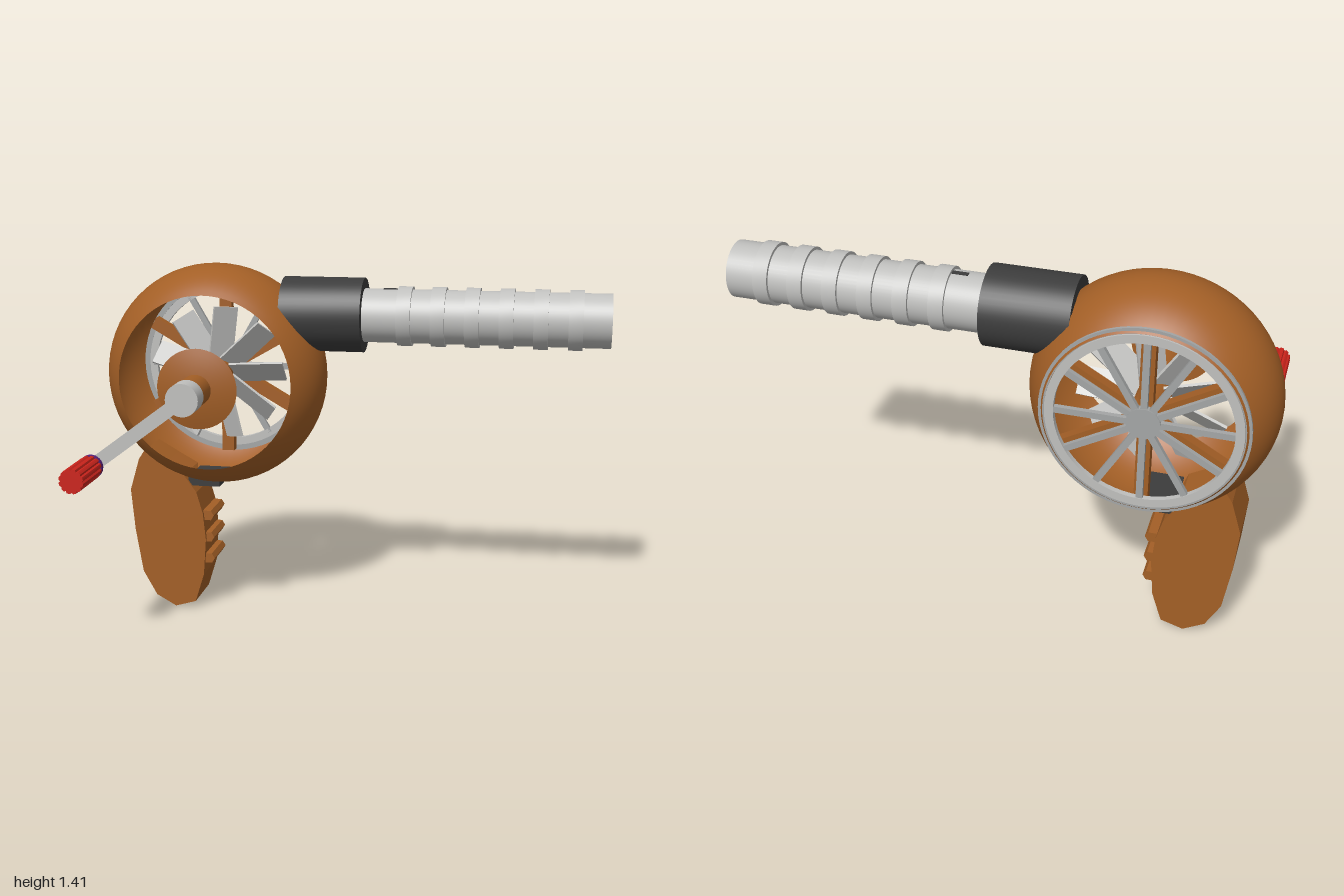
import * as THREE from 'three';
import { toCreasedNormals } from 'three/addons/utils/BufferGeometryUtils.js';

const mat = (name, color, side = THREE.FrontSide) => {
  const m = new THREE.MeshStandardMaterial({ color, side });
  m.name = name;
  return m;
};

export function createModel() {
  const brown = mat('brown', 0xa35f26);
  const brownShell = mat('brown shell', 0xa35f26, THREE.DoubleSide);
  const charcoal = mat('charcoal', 0x3c3c3c);
  const silver = mat('silver', 0xc0c0be);
  const steel = mat('steel', 0xa4a6a6);
  const red = mat('red', 0xcc241c);
  const purple = mat('purple', 0x55207a);

  const root = new THREE.Group();
  const CX = -0.555, CY = 0.975, CZ = -0.28; // drum centre
  const R = 0.445, DEPTH = 0.348;            // drum ellipsoid radii

  const add = (name, geo, material, x = 0, y = 0, z = 0, parent = root) => {
    const m = new THREE.Mesh(geo, material);
    m.name = name;
    m.position.set(x, y, z);
    parent.add(m);
    return m;
  };
  // Turned profile of [radius, height]; axis is z or x
  const turn = (pts, axis = 'z', seg = 48) => {
    const g = new THREE.LatheGeometry(pts.map(p => new THREE.Vector2(p[0], p[1])), seg);
    if (axis === 'z') g.rotateX(Math.PI / 2); else g.rotateZ(-Math.PI / 2);
    return toCreasedNormals(g, 0.5);
  };
  const rod = (r, z0, z1, seg = 32) =>
    new THREE.CylinderGeometry(r, r, z1 - z0, seg).rotateX(Math.PI / 2).translate(0, 0, (z0 + z1) / 2);
  const ring = (r0, r1, z0, z1) => turn([[r0, z0], [r1, z0], [r1, z1], [r0, z1], [r0, z0]], 'z', 64);

  // Hollow drum, open at front and back
  const arc = [];
  for (let i = 0; i <= 24; i++) {
    const d = -0.215 + (0.435 * i) / 24;
    arc.push(new THREE.Vector2(R * Math.sqrt(1 - (d / DEPTH) ** 2), d));
  }
  add('drum', new THREE.LatheGeometry(arc, 64).rotateX(Math.PI / 2), brownShell, CX, CY, CZ);

  // Rear grille
  const grille = new THREE.Group();
  grille.name = 'rearGrille';
  grille.position.set(CX, CY, 0);
  root.add(grille);
  add('outerBand', ring(0.345, 0.367, -0.488, -0.476), steel, 0, 0, 0, grille);
  add('grilleRing', ring(0.312, 0.344, -0.493, -0.472), silver, 0, 0, 0, grille);
  add('grilleHub', rod(0.06, -0.493, -0.468), steel, 0, 0, 0, grille);
  for (let i = 0; i < 12; i++) {
    const a = (i * Math.PI) / 6;
    const s = add('grilleSpoke', new THREE.BoxGeometry(0.3, 0.024, 0.018).translate(0.18, 0, 0), steel, 0, 0, -0.481, grille);
    s.rotation.z = a;
  }

  // Brown struts that carry the shaft
  for (let i = 0; i < 6; i++) {
    const s = add('strut', new THREE.BoxGeometry(0.31, 0.05, 0.04).translate(0.2, 0, 0), brown, CX, CY, -0.44);
    s.rotation.z = Math.PI / 6 + (i * Math.PI) / 3;
  }

  // Fan of nine pitched blades
  const fan = new THREE.Group();
  fan.name = 'fan';
  fan.position.set(CX, CY, -0.3);
  root.add(fan);
  for (let i = 0; i < 9; i++) {
    const b = add('fanBlade', new THREE.BoxGeometry(0.22, 0.105, 0.01).rotateX(0.7).translate(0.16, 0, 0), silver, 0, 0, 0, fan);
    b.rotation.z = THREE.MathUtils.degToRad(3 + 40 * i);
  }

  // Shaft, domed disc and crank
  add('shaft', rod(0.06, -0.465, 0.18), brown, CX, CY);
  add('shaftDisc', turn([[0, 0.043], [0.157, 0.043], [0.13, 0.05], [0.09, 0.058], [0.05, 0.063], [0, 0.065]]), brown, CX, CY);
  add('shaftCap', rod(0.063, 0.175, 0.255), silver, CX, CY);
  const GX = -0.905, GY = 0.715;
  const len = Math.hypot(GX - CX, GY - CY);
  const arm = add('crankArm', new THREE.BoxGeometry(len, 0.052, 0.045), silver, (GX + CX) / 2, (GY + CY) / 2, 0.224);
  arm.rotation.z = Math.atan2(CY - GY, CX - GX);
  add('crankPin', rod(0.027, 0.2, 0.28, 20), silver, GX, GY);

  // Fluted crank grip
  const flute = new THREE.Shape();
  for (let i = 0; i < 48; i++) {
    const a = (i * Math.PI) / 24, r = i % 4 === 0 ? 0.041 : 0.047;
    if (i) flute.lineTo(r * Math.cos(a), r * Math.sin(a)); else flute.moveTo(r, 0);
  }
  add('crankGrip', new THREE.ExtrudeGeometry(flute, { depth: 0.2, bevelEnabled: false }), red, GX, GY, 0.295);
  add('gripCollar', rod(0.046, 0.275, 0.296), purple, GX, GY);

  // Dark collar, its inner end trimmed to the drum
  const TY = 1.2275, C0 = -0.275;
  const collar = new THREE.LatheGeometry([[0.1, 0.32], [0.1, 0], [0.146, 0], [0.146, 0.32], [0.1, 0.32]]
    .map(p => new THREE.Vector2(...p)), 48).rotateZ(-Math.PI / 2);
  const cp = collar.attributes.position;
  for (let i = 0; i < cp.count; i++) {
    if (cp.getX(i) > 0.1) continue;
    const h = TY + cp.getY(i) - CY, d = cp.getZ(i) / DEPTH;
    const surface = CX + Math.sqrt(Math.max(0, R * R * (1 - d * d) - h * h)) - 0.02;
    cp.setX(i, Math.max(0, surface - C0));
  }
  add('collar', toCreasedNormals(collar, 0.5), charcoal, C0, TY, CZ);

  // Hollow ribbed nozzle
  const RO = 0.105, RI = 0.098;
  add('nozzle', turn([[RI, 0], [RO, 0], [RO, 0.98], [RI, 0.98], [RI, 0]], 'x'), silver, 0.02, TY, CZ);
  for (let i = 0; i < 6; i++) {
    add('nozzleRib', turn([[0.1, 0], [0.116, 0], [0.116, 0.055], [0.1, 0.055]], 'x'), silver, 0.18 + 0.1315 * i, TY, CZ);
  }
  add('nozzleSlot', new THREE.BoxGeometry(0.06, 0.008, 0.02), charcoal, 0.15, TY + 0.103, CZ);

  // Pistol grip with finger ribs
  const prism = (pts, depth) => new THREE.ExtrudeGeometry(
    new THREE.Shape(pts.map(p => new THREE.Vector2(p[0], p[1]))), { depth, bevelEnabled: false });
  add('handle', prism([[-0.73, 0.005], [-0.645, 0.03], [-0.607, 0.15], [-0.595, 0.3], [-0.605, 0.41], [-0.63, 0.5],
    [-0.68, 0.57], [-0.76, 0.615], [-0.845, 0.665], [-0.868, 0.63], [-0.907, 0.5], [-0.893, 0.33], [-0.865, 0.15],
    [-0.81, 0.05]], 0.21), brown, 0, 0, -0.385);
  for (const y of [0.4, 0.308, 0.217]) {
    add('fingerRib', prism([[-0.64, -0.02], [-0.575, -0.02], [-0.563, 0], [-0.575, 0.02], [-0.64, 0.02]], 0.178), brown, 0, y, -0.367);
  }
  add('handleMount', new THREE.BoxGeometry(0.13, 0.035, 0.188), charcoal, -0.6, 0.543, CZ);

  return root;
}
